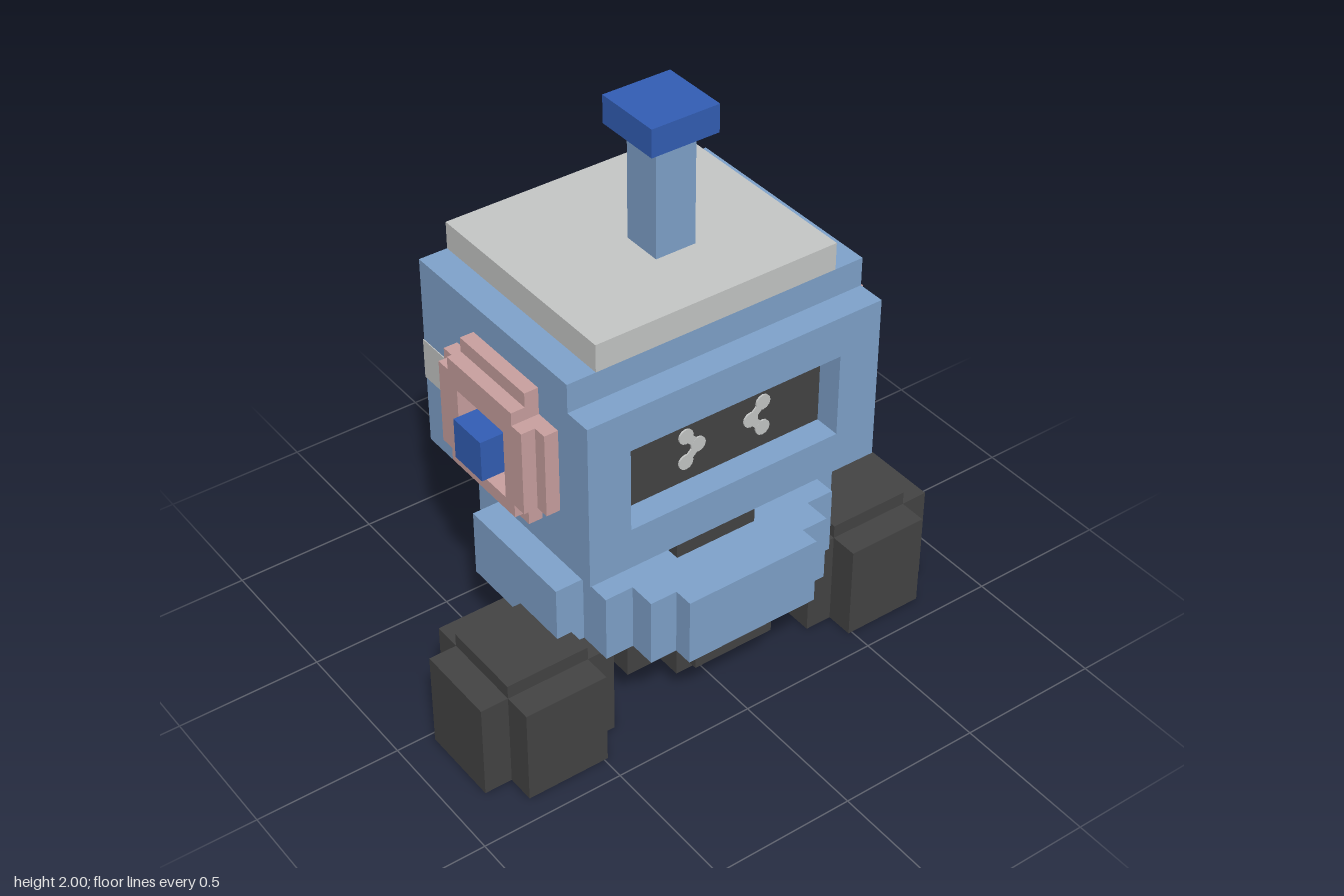
import * as THREE from 'three';

const mat = (name, color) => {
  const m = new THREE.MeshStandardMaterial({ color });
  m.name = name;
  return m;
};

// Symmetric stair-stepped outline; steps are [halfWidth, halfHeight], widest first
function steppedShape(steps) {
  const q = [];
  steps.forEach(([w, h], i) => {
    q.push([w, h]);
    if (steps[i + 1]) q.push([steps[i + 1][0], h]);
  });
  const mirror = (sx, sy) => q.map(([x, y]) => [x * sx, y * sy]);
  const all = [...q, ...mirror(-1, 1).reverse(), ...mirror(-1, -1), ...mirror(1, -1).reverse()];
  return new THREE.Shape(all.map(([x, y]) => new THREE.Vector2(x, y)));
}

// Rectangle path given by its edges
function rectPoints(x0, x1, y0, y1) {
  return [[x0, y0], [x1, y0], [x1, y1], [x0, y1]].map(([x, y]) => new THREE.Vector2(x, y));
}

const extrude = (shape, depth) => new THREE.ExtrudeGeometry(shape, { depth, bevelEnabled: false });

export function createModel() {
  const blue = mat('light blue', 0x80a4cd);
  const deepBlue = mat('deep blue', 0x335fb7);
  const dark = mat('charcoal', 0x444444);
  const grey = mat('light grey', 0xc7c9c8);
  const pink = mat('dusty pink', 0xcba2a1);
  const root = new THREE.Group();
  root.name = 'robot';

  const add = (name, geometry, material, parent = root) => {
    const mesh = new THREE.Mesh(geometry, material);
    mesh.name = name;
    parent.add(mesh);
    return mesh;
  };
  const box = (name, material, [x0, x1], [y0, y1], [z0, z1], parent) => {
    const g = new THREE.BoxGeometry(x1 - x0, y1 - y0, z1 - z0);
    g.translate((x0 + x1) / 2, (y0 + y1) / 2, (z0 + z1) / 2);
    return add(name, g, material, parent);
  };
  // Upright prism with a stepped plan
  const stepped = (name, material, steps, [y0, y1], [x, z] = [0, 0], parent) => {
    const g = extrude(steppedShape(steps), y1 - y0);
    g.rotateX(-Math.PI / 2).translate(x, y0, z);
    return add(name, g, material, parent);
  };

  // Base, body ring and neck
  const small = [[0.34, 0.15], [0.245, 0.24], [0.15, 0.34]];
  stepped('baseFoot', dark, small, [0.1, 0.2], [0, -0.02]);
  stepped('base', dark, [[0.44, 0.15], [0.39, 0.24], [0.34, 0.34], [0.15, 0.44]], [0.2, 0.35], [0, -0.02]);
  stepped('bodyRing', blue, [[0.54, 0.23], [0.44, 0.35], [0.34, 0.445], [0.245, 0.513]], [0.345, 0.585]);
  stepped('neck', dark, small, [0.585, 0.735], [0, -0.02]);

  // Head with a sunken face
  box('headBack', blue, [-0.54, 0.54], [0.735, 1.42], [-0.463, 0.318]);
  const faceFrame = new THREE.Shape(rectPoints(-0.54, 0.54, 0.735, 1.32));
  faceFrame.holes.push(new THREE.Path(rectPoints(-0.39, 0.388, 0.88, 1.175).reverse()));
  add('faceFrame', extrude(faceFrame, 0.097).translate(0, 0, 0.318), blue);
  box('screen', dark, [-0.39, 0.388], [0.88, 1.175], [0.318, 0.323]);
  box('lid', grey, [-0.44, 0.435], [1.42, 1.515], [-0.463, 0.318]);

  // Eyes: two chevrons of dots pointing at each other
  for (const side of [-1, 1]) {
    const eye = new THREE.Group();
    eye.name = side < 0 ? 'rightEye' : 'leftEye';
    eye.position.set(0.02 + side * 0.122, 1.002, 0.326);
    root.add(eye);
    for (const [dx, dy] of [[0.023, 0.048], [-0.023, 0], [0.023, -0.048]]) {
      const dot = new THREE.CylinderGeometry(0.027, 0.027, 0.006, 12).rotateX(Math.PI / 2);
      add('eyeDot', dot.translate(side * dx, dy, 0), grey, eye);
    }
    for (const dy of [-1, 1]) {
      const bar = new THREE.BoxGeometry(0.06, 0.028, 0.005);
      bar.rotateZ(side * dy * Math.PI / 4).translate(0, dy * 0.024, 0);
      add('eyeBar', bar, grey, eye);
    }
  }

  // Stripe around the back of the head
  box('backStripe', grey, [-0.543, 0.543], [0.98, 1.123], [-0.466, -0.461]);
  for (const s of [-1, 1]) {
    const x = [s * 0.538, s * 0.543].sort((a, b) => a - b);
    box('sideStripe', grey, x, [0.98, 1.123], [-0.463, -0.25]);
  }

  // Ears: two stepped rings around a knob
  for (const side of [1, -1]) {
    const ear = new THREE.Group();
    ear.name = side > 0 ? 'leftEar' : 'rightEar';
    ear.position.y = 1.078;
    ear.rotation.y = side > 0 ? 0 : Math.PI;
    root.add(ear);
    const ring = (name, steps, x0, x1) => {
      const shape = steppedShape(steps);
      shape.holes.push(new THREE.Path(rectPoints(-0.123, 0.123, -0.147, 0.097).reverse()));
      add(name, extrude(shape, x1 - x0).rotateY(Math.PI / 2).translate(x0, 0, 0), pink, ear);
    };
    ring('earInnerRing', [[0.267, 0.148], [0.17, 0.243]], 0.54, 0.588);
    ring('earOuterRing', [[0.22, 0.148], [0.17, 0.193]], 0.588, 0.636);
    box('earKnob', deepBlue, [0.54, 0.684], [-0.098, 0.045], [-0.072, 0.072], ear);
  }

  // Antenna
  box('antennaRod', blue, [-0.049, 0.095], [1.515, 1.905], [-0.072, 0.072]);
  box('antennaCap', deepBlue, [-0.1, 0.142], [1.905, 2], [-0.12, 0.12]);

  // Wheel blocks
  for (const side of [1, -1]) {
    const wheel = new THREE.Group();
    wheel.name = side > 0 ? 'leftWheel' : 'rightWheel';
    wheel.position.set(side * 0.634, 0, 0.172);
    root.add(wheel);
    stepped('wheelBlock', dark, [[0.244, 0.145], [0.147, 0.244]], [0, 0.345], [0, 0], wheel);
    box('wheelTop', dark, [-0.147, 0.147], [0.345, 0.393], [-0.145, 0.145], wheel);
  }
  return root;
}
